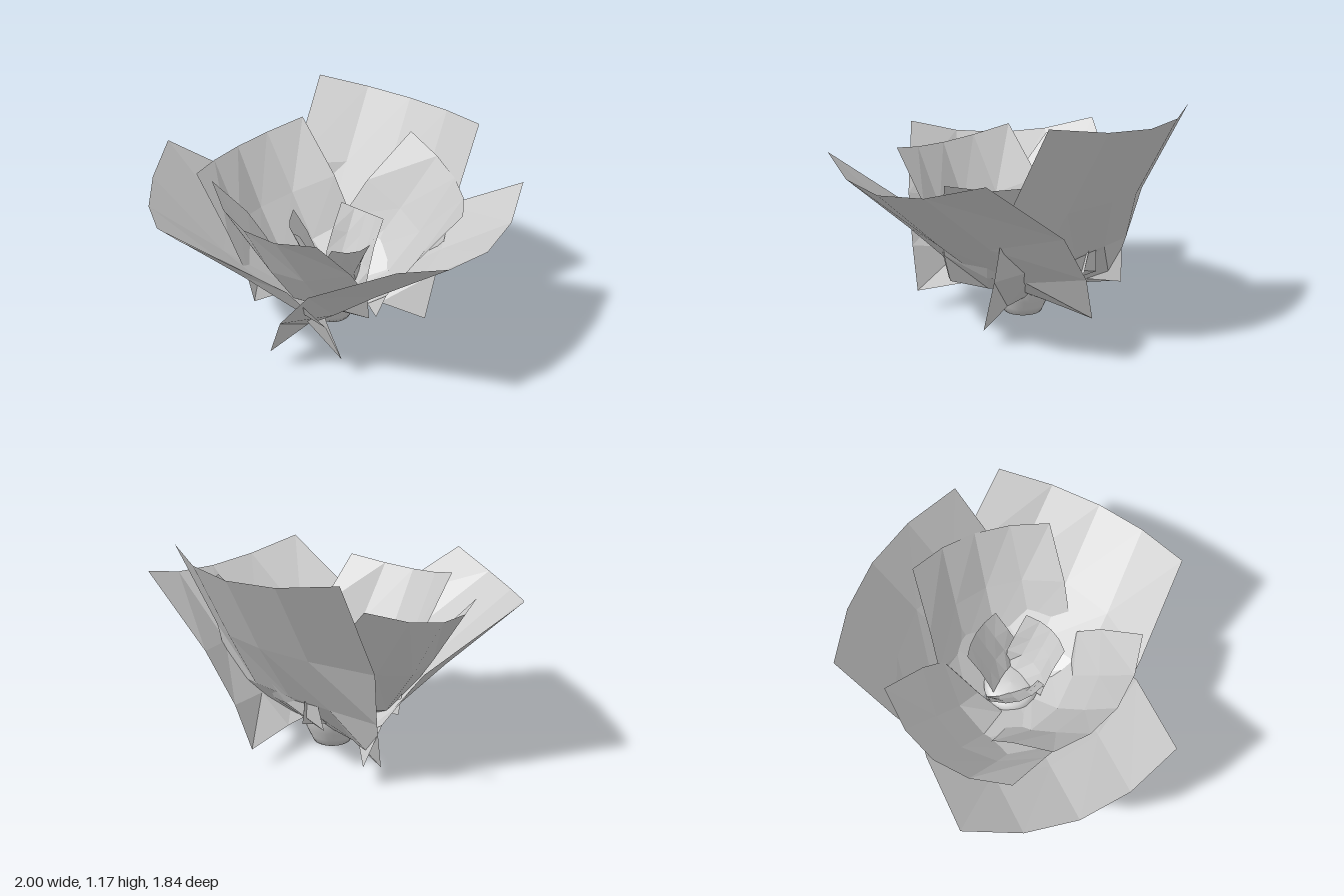
import * as THREE from 'three';

const petalMat = new THREE.MeshStandardMaterial({ color: 0xcccccc, flatShading: true, side: THREE.DoubleSide });
const cupMat = new THREE.MeshStandardMaterial({ color: 0xcccccc, side: THREE.DoubleSide });
const CENTER_Z = -0.13;

// Petal cross-sections from base to tip: [midRadius, midY, edgeRadius, edgeY, halfWidth]
const OUTER = [
  [0.10, 0.15, 0.07, 0.11, 0.59],
  [0.32, 0.27, 0.16, 0.35, 0.61],
  [0.62, 0.51, 0.36, 0.61, 0.62],
  [1.00, 0.84, 0.86, 0.95, 0.58],
];
const BACK = [
  [0.10, 0.13, 0.21, 0.08, 0.53],
  [0.36, 0.38, 0.29, 0.36, 0.55],
  [0.58, 0.72, 0.36, 0.66, 0.575],
  [0.79, 1.12, 0.63, 1.17, 0.575],
];
const MIDDLE = [
  [0.15, 0.17, 0.13, 0.24, 0.41],
  [0.33, 0.27, 0.17, 0.42, 0.42],
  [0.50, 0.53, 0.31, 0.64, 0.42],
  [0.68, 0.87, 0.56, 0.93, 0.41],
];
const INNER = [
  [0.05, 0.20, 0.06, 0.21, 0.15],
  [0.13, 0.33, 0.08, 0.35, 0.16],
  [0.19, 0.46, 0.13, 0.48, 0.155],
  [0.25, 0.60, 0.21, 0.63, 0.155],
];

// Curled sheet: four facets across, one band between each pair of sections
function makePetal(name, rows, angle, { reach = 1, roll = 0, shift = 0, baseShift = shift } = {}) {
  const across = 4, pos = [], index = [];
  const s = Math.sin(angle), c = Math.cos(angle);
  rows.forEach(([rMid, yMid, rEdge, yEdge, w], j) => {
    const v = j / (rows.length - 1);
    for (let i = 0; i <= across; i++) {
      const u = (2 * i) / across - 1;
      const r = (rMid + (rEdge - rMid) * u * u) * reach;
      const y = yMid + (yEdge - yMid) * u * u + roll * u * v;
      const t = w * u + baseShift + (shift - baseShift) * v;
      pos.push(r * s + t * c, y, CENTER_Z + r * c - t * s);
    }
  });
  const n = across + 1;
  for (let j = 0; j < rows.length - 1; j++) {
    for (let i = 0; i < across; i++) {
      const a = j * n + i;
      index.push(a, a + 1, a + n, a + 1, a + n + 1, a + n);
    }
  }
  const geo = new THREE.BufferGeometry();
  geo.setAttribute('position', new THREE.Float32BufferAttribute(pos, 3));
  geo.setIndex(index);
  geo.computeVertexNormals();
  const mesh = new THREE.Mesh(geo, petalMat);
  mesh.name = name;
  return mesh;
}

export function createModel() {
  const flower = new THREE.Group();
  flower.name = 'flower';

  // Rounded cup holding the petals
  const profile = [[0, 0], [0.108, 0], [0.125, 0.04], [0.147, 0.09], [0.163, 0.14], [0.165, 0.18], [0.14, 0.205], [0.08, 0.222], [0, 0.228]];
  const cup = new THREE.Mesh(new THREE.LatheGeometry(profile.map(([x, y]) => new THREE.Vector2(x, y)), 32), cupMat);
  cup.position.z = CENTER_Z;
  cup.name = 'cup';
  flower.add(cup);

  flower.add(
    // Large outer whorl
    makePetal('outerPetalBack', BACK, Math.PI, { shift: 0.055, baseShift: 0.005 }),
    makePetal('outerPetalLeft', OUTER, Math.PI / 2, { shift: -0.015, baseShift: -0.035 }),
    makePetal('outerPetalFront', OUTER, -0.68, { reach: 1.02 }),
    // Middle whorl
    makePetal('middlePetalFront', MIDDLE, -0.11, { roll: -0.025, shift: 0.04, baseShift: 0.01 }),
    makePetal('middlePetalRight', MIDDLE, -1.68, { roll: -0.05, reach: 1.1, shift: 0.075 }),
    makePetal('middlePetalBack', MIDDLE, 2.53, { roll: 0.06, shift: -0.1, baseShift: -0.02 }),
    // Small inner whorl
    makePetal('innerPetalBack', INNER, Math.PI, { shift: -0.045 }),
    makePetal('innerPetalFront', INNER, -0.735, { shift: -0.02 }),
    makePetal('innerPetalLeft', INNER, 1.29, { reach: 1.2, shift: -0.03 }),
  );
  return flower;
}
